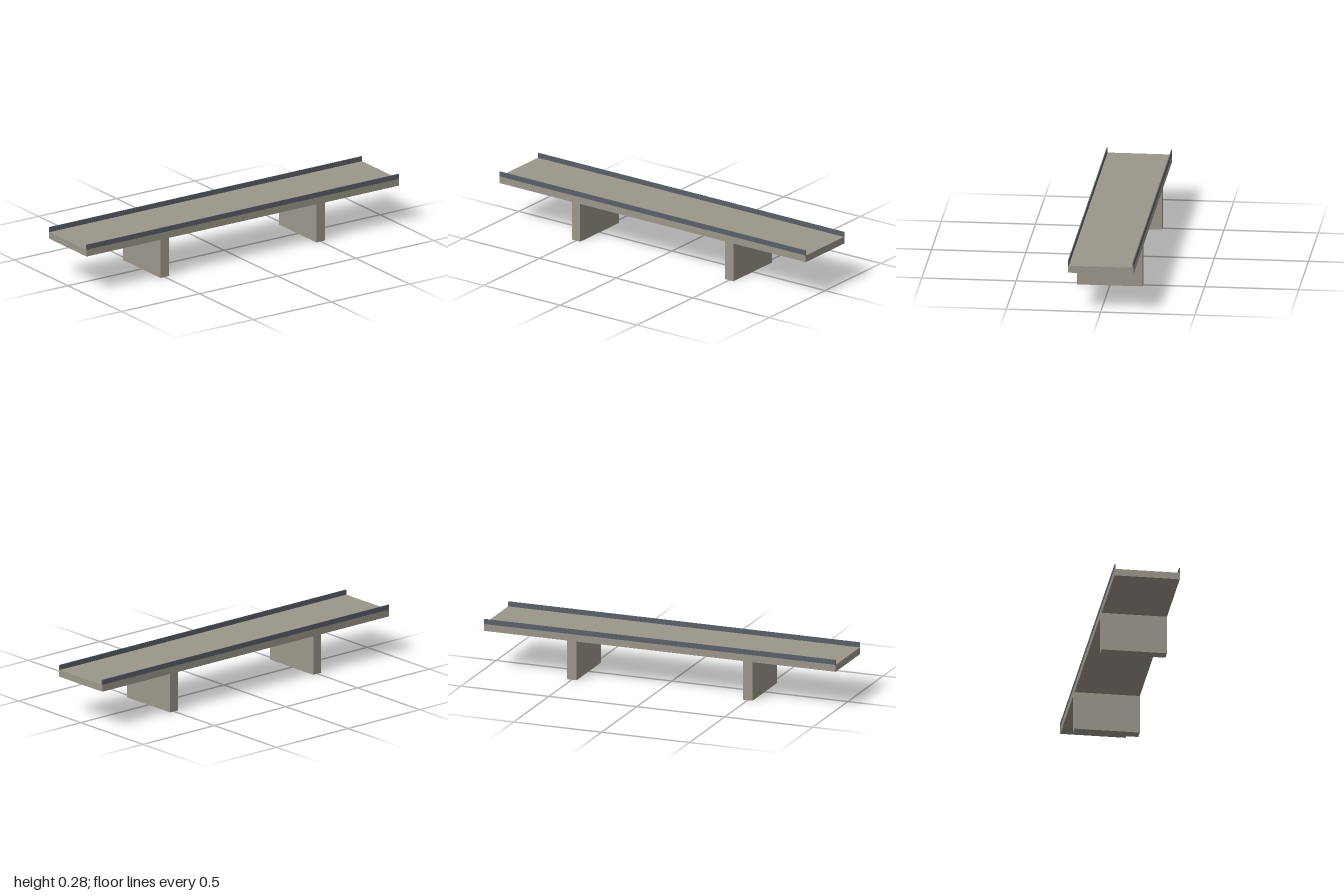
import * as THREE from 'three';

const concrete = new THREE.MeshStandardMaterial({ color: 0x9c978c });
const steel = new THREE.MeshStandardMaterial({ color: 0x5a6068 });

const LENGTH = 2, WIDTH = 0.348;
const DECK_BOTTOM = 0.213, DECK_TOP = 0.251, RAIL_TOP = 0.278;

// Box spanning two heights, centred on (x, z)
function block(name, material, width, depth, y0, y1, x = 0, z = 0) {
  const mesh = new THREE.Mesh(new THREE.BoxGeometry(width, y1 - y0, depth), material);
  mesh.name = name;
  mesh.position.set(x, (y0 + y1) / 2, z);
  return mesh;
}

export function createModel() {
  const bridge = new THREE.Group();
  bridge.name = 'bridge';

  // Flat road slab
  bridge.add(block('deck', concrete, LENGTH, WIDTH, DECK_BOTTOM, DECK_TOP));

  for (const side of [1, -1]) {
    // Thin parapet along each long edge
    const t = 0.005;
    const railName = side > 0 ? 'frontRail' : 'backRail';
    bridge.add(block(railName, steel, LENGTH, t, DECK_TOP, RAIL_TOP, 0, side * (WIDTH - t) / 2));

    // Wall pier across the full width at each quarter point
    const pierName = side > 0 ? 'leftPier' : 'rightPier';
    bridge.add(block(pierName, concrete, 0.055, WIDTH, 0, DECK_BOTTOM, side * 0.5));
  }
  return bridge;
}
